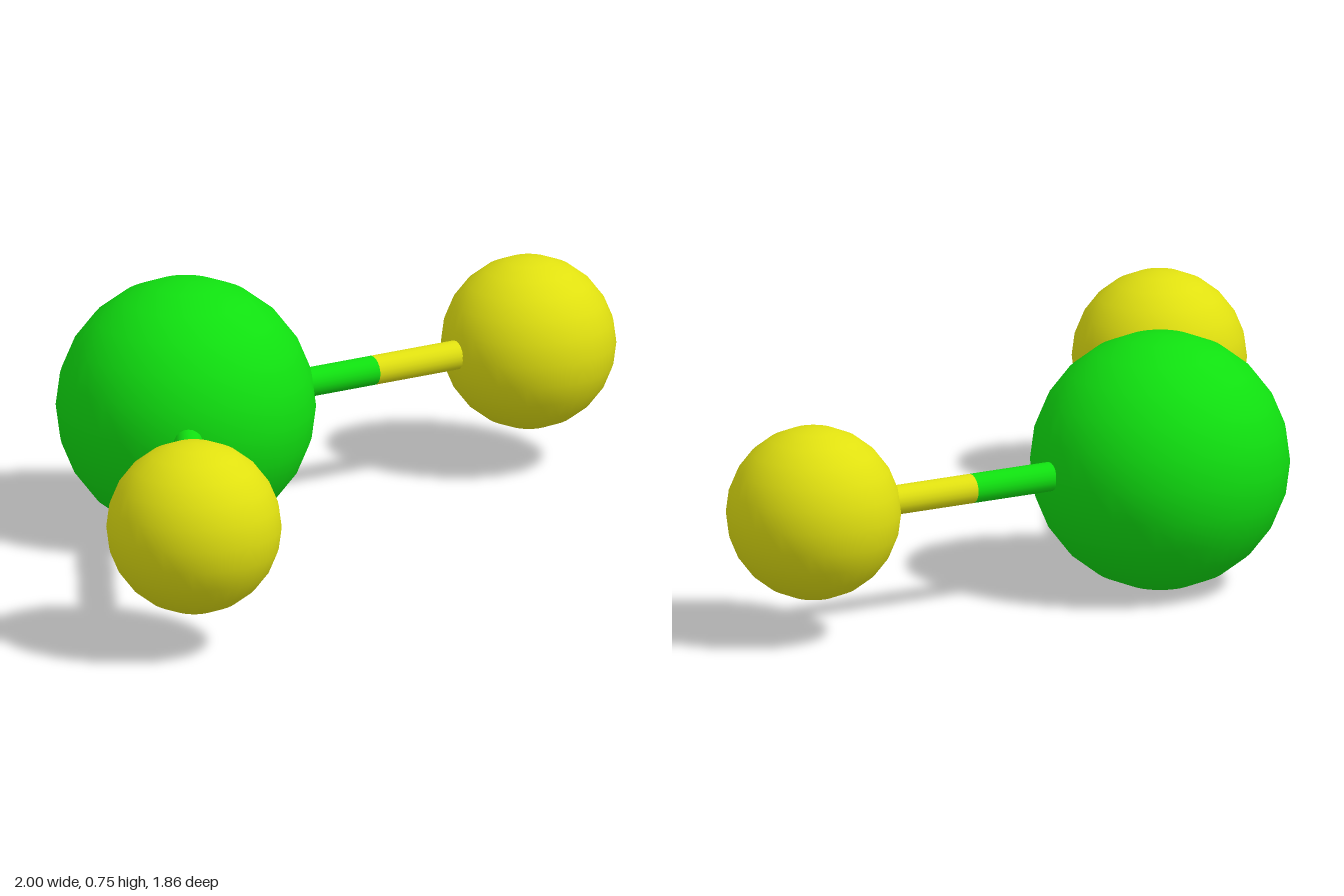
import * as THREE from 'three';

export function createModel() {
  const model = new THREE.Group();
  const green = new THREE.MeshStandardMaterial({ color: 0x10e010 });
  const yellow = new THREE.MeshStandardMaterial({ color: 0xe0e010 });
  const Y = 0.38;

  function addBall(name, centre, radius, material) {
    const ball = new THREE.Mesh(new THREE.SphereGeometry(radius, 36, 12), material);
    ball.name = name;
    ball.position.copy(centre);
    model.add(ball);
  }

  // Straight rod between two points
  function addRod(name, from, to, material) {
    const dir = to.clone().sub(from);
    const rod = new THREE.Mesh(new THREE.CylinderGeometry(0.043, 0.043, dir.length(), 20), material);
    rod.name = name;
    rod.position.copy(from).add(to).multiplyScalar(0.5);
    rod.quaternion.setFromUnitVectors(new THREE.Vector3(0, 1, 0), dir.normalize());
    model.add(rod);
  }

  // Large central atom
  const hub = new THREE.Vector3(-0.39, Y, -0.43);
  addBall('centralAtom', hub, 0.377, green);

  // Two outer atoms, each joined by a two-coloured bond
  const outer = {
    left: new THREE.Vector3(0.745, Y, -0.68),
    right: new THREE.Vector3(-0.745, Y, 0.675),
  };
  for (const [side, centre] of Object.entries(outer)) {
    addBall(side + 'OuterAtom', centre, 0.254, yellow);
    const split = hub.clone().lerp(centre, 0.545);
    addRod(side + 'BondInner', hub, split, green);
    addRod(side + 'BondOuter', split, centre, yellow);
  }
  return model;
}
